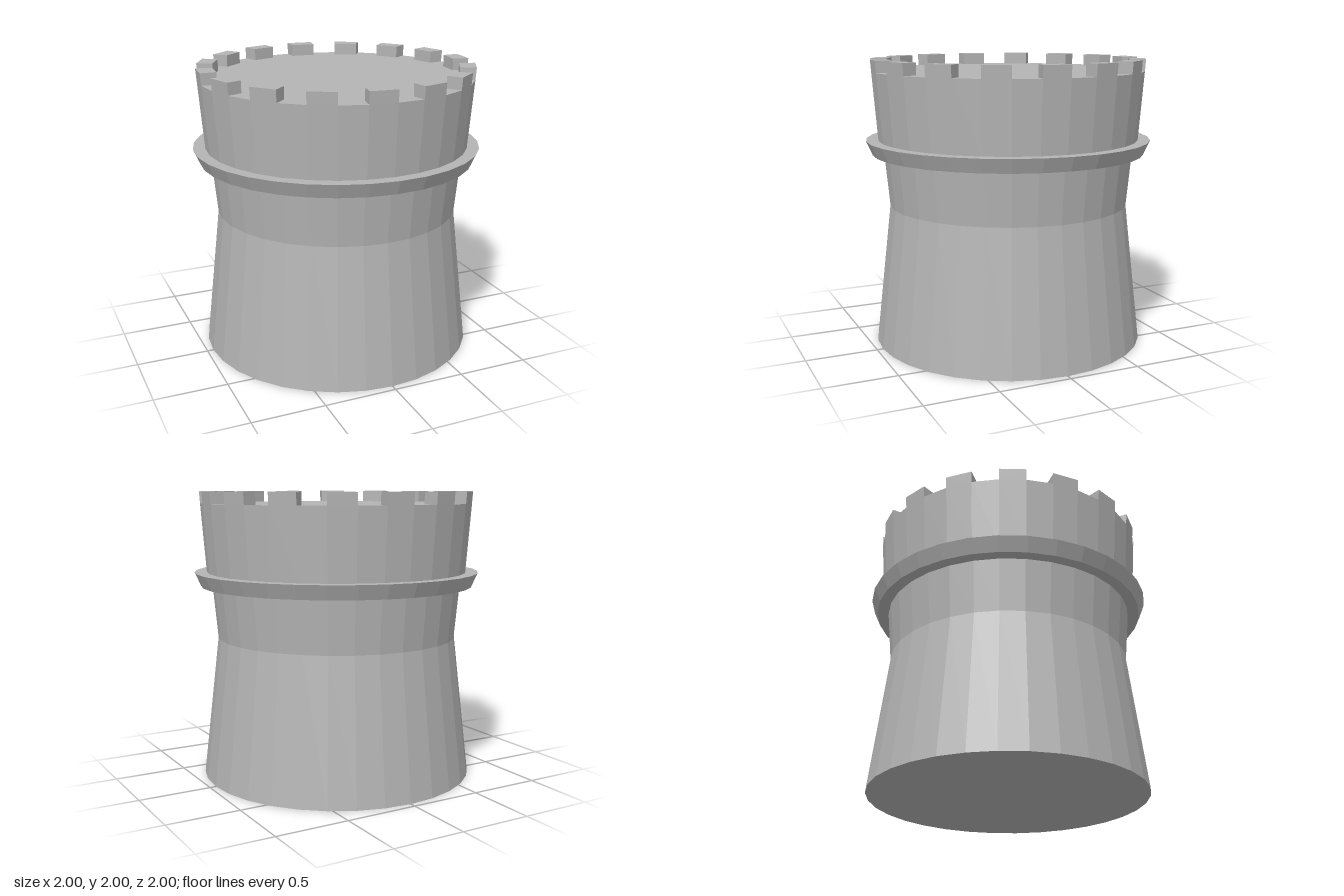
import * as THREE from 'three';
import { ConvexGeometry } from 'three/addons/geometries/ConvexGeometry.js';

const SIDES = 32;
const STEP = (Math.PI * 2) / SIDES;

export function createModel() {
  const group = new THREE.Group();
  const stone = new THREE.MeshStandardMaterial({ color: 0xb4b4b4, flatShading: true });
  stone.name = 'grey stone';

  const add = (name, geometry, parent = group) => {
    const mesh = new THREE.Mesh(geometry, stone);
    mesh.name = name;
    parent.add(mesh);
  };
  // faceted ring body from [radius, height] pairs, bottom to top
  const turned = (profile) =>
    new THREE.LatheGeometry(profile.map(([r, y]) => new THREE.Vector2(r, y)), SIDES);

  // tapering base with a narrow waist
  add('towerBase', turned([[0, 0], [0.957, 0], [0.843, 0.98], [0.877, 1.345]]));

  // flared collar with flat underside and ledge
  add('collar', turned([[0.877, 1.345], [0.957, 1.345], [1, 1.443], [0.915, 1.443]]));

  // upper drum closed by a flat deck
  const deckY = 1.918;
  const deckR = 0.951;
  add('upperDrum', turned([[0.915, 1.443], [deckR, deckY], [0, deckY]]));

  // battlements: one block on every second side
  const battlements = new THREE.Group();
  battlements.name = 'battlements';
  group.add(battlements);
  const innerR = 0.845;
  for (let i = 0; i < SIDES; i += 2) {
    const corners = [];
    for (const a of [i * STEP, (i + 1) * STEP]) {
      for (const [r, y] of [[innerR, deckY], [deckR, deckY], [innerR, 2], [0.957, 2]]) {
        corners.push(new THREE.Vector3(r * Math.sin(a), y, -r * Math.cos(a)));
      }
    }
    add('merlon', new ConvexGeometry(corners), battlements);
  }

  return group;
}
